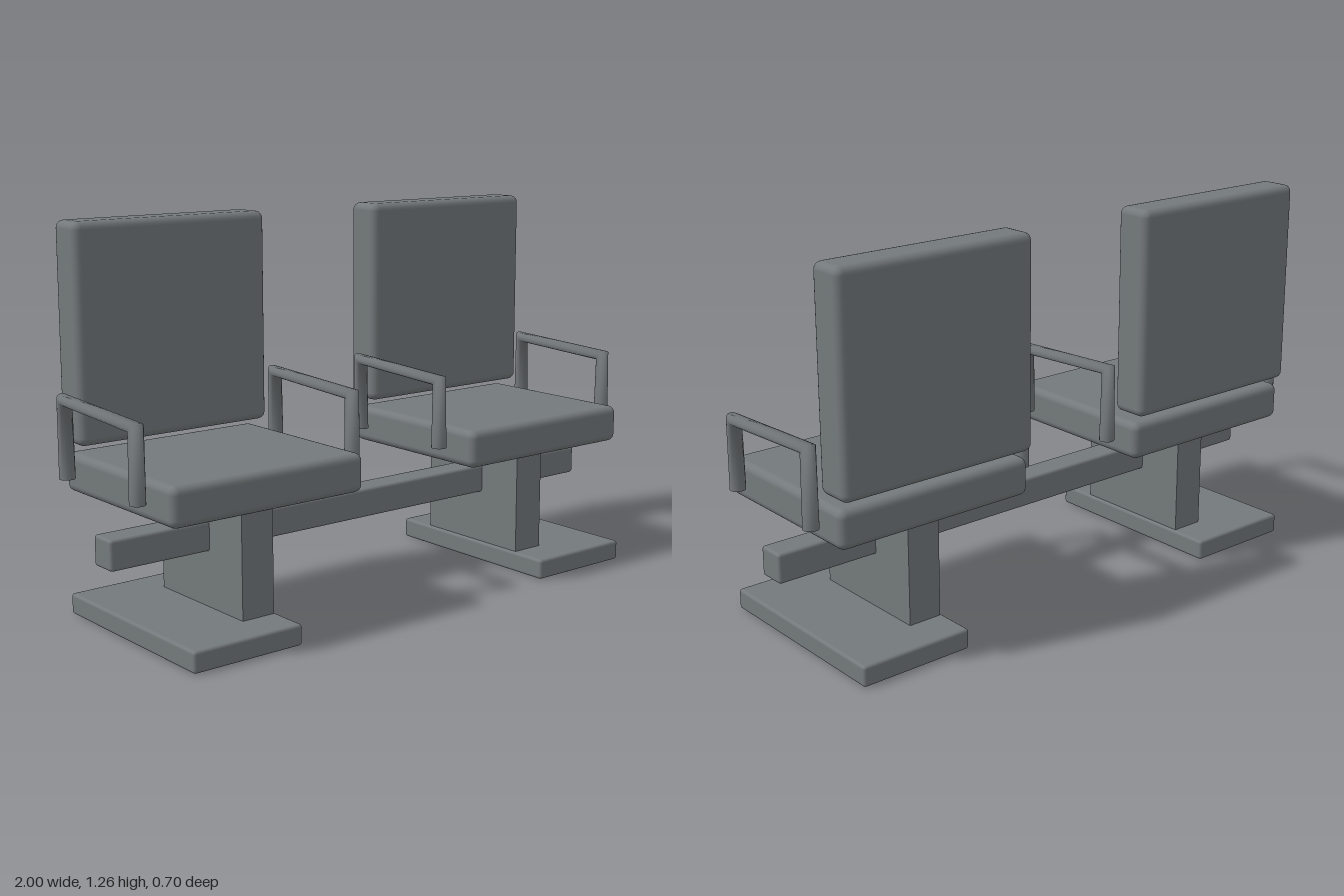
import * as THREE from 'three';
import { RoundedBoxGeometry } from 'three/addons/geometries/RoundedBoxGeometry.js';

const grey = new THREE.MeshStandardMaterial({ color: 0x74797b });
grey.name = 'grey';

// Box given by its min and max corners, with optional rounded edges
function block(name, min, max, radius = 0) {
  const [w, h, d] = max.map((v, i) => v - min[i]);
  const geometry = radius
    ? new RoundedBoxGeometry(w, h, d, 3, radius)
    : new THREE.BoxGeometry(w, h, d);
  const mesh = new THREE.Mesh(geometry, grey);
  mesh.name = name;
  mesh.position.set(...max.map((v, i) => (v + min[i]) / 2));
  return mesh;
}

// Straight-sided path: one ring per corner, turned to the bisector
class CornerPath extends THREE.Curve {
  constructor(points) {
    super();
    this.points = points;
  }
  index(u) {
    return Math.round(u * (this.points.length - 1));
  }
  getPointAt(u, target = new THREE.Vector3()) {
    return target.copy(this.points[this.index(u)]);
  }
  getTangentAt(u, target = new THREE.Vector3()) {
    const i = this.index(u), p = this.points;
    target.set(0, 0, 0);
    if (i > 0) target.add(p[i].clone().sub(p[i - 1]).normalize());
    if (i < p.length - 1) target.add(p[i + 1].clone().sub(p[i]).normalize());
    return target.normalize();
  }
}

// Armrest hoop: front post, sloping rail, back post, closed at the feet
function makeArmrest(name, x) {
  const group = new THREE.Group();
  group.name = name;
  const radius = 0.025;
  const points = [[0.483, 0.188], [0.708, 0.188], [0.727, -0.217], [0.483, -0.215]]
    .map(([y, z]) => new THREE.Vector3(0, y, z));
  const hoop = new THREE.Mesh(
    new THREE.TubeGeometry(new CornerPath(points), 3, radius, 16, false), grey);
  hoop.name = 'armrestHoop';
  group.add(hoop);
  for (const p of [points[0], points[3]]) {
    const cap = new THREE.Mesh(new THREE.CircleGeometry(radius, 16), grey);
    cap.name = 'armrestFoot';
    cap.rotation.x = Math.PI / 2;
    cap.position.copy(p);
    group.add(cap);
  }
  group.position.x = x;
  return group;
}

// One chair; side is +1 for the left chair and -1 for the right
function makeChair(name, side) {
  const chair = new THREE.Group();
  chair.name = name;
  const span = (a, b) => (side > 0 ? [a, b] : [-b, -a]);
  const part = (label, [x0, x1], [y0, y1], [z0, z1], radius) => {
    const [l, r] = span(x0, x1);
    chair.add(block(label, [l, y0, z0], [r, y1, z1], radius));
  };
  part('seatCushion', [0.23, 0.93], [0.422, 0.547], [-0.304, 0.304], 0.025);
  part('backrest', [0.23, 0.93], [0.574, 1.26], [-0.328, -0.2], 0.025);
  part('pedestal', [0.52, 0.636], [0.05, 0.44], [-0.22, 0.22]);
  part('basePlate', [0.51, 0.9], [0.002, 0.07], [-0.352, 0.352], 0.01);
  chair.add(makeArmrest('innerArmrest', side * 0.185));
  chair.add(makeArmrest('outerArmrest', side * 0.973));
  return chair;
}

export function createModel() {
  const model = new THREE.Group();
  model.name = 'doubleSeat';
  model.add(makeChair('leftChair', 1), makeChair('rightChair', -1));
  // Beam joining both pedestals
  model.add(block('crossBeam', [-0.985, 0.25, -0.048], [0.985, 0.347, 0.048], 0.01));
  return model;
}
